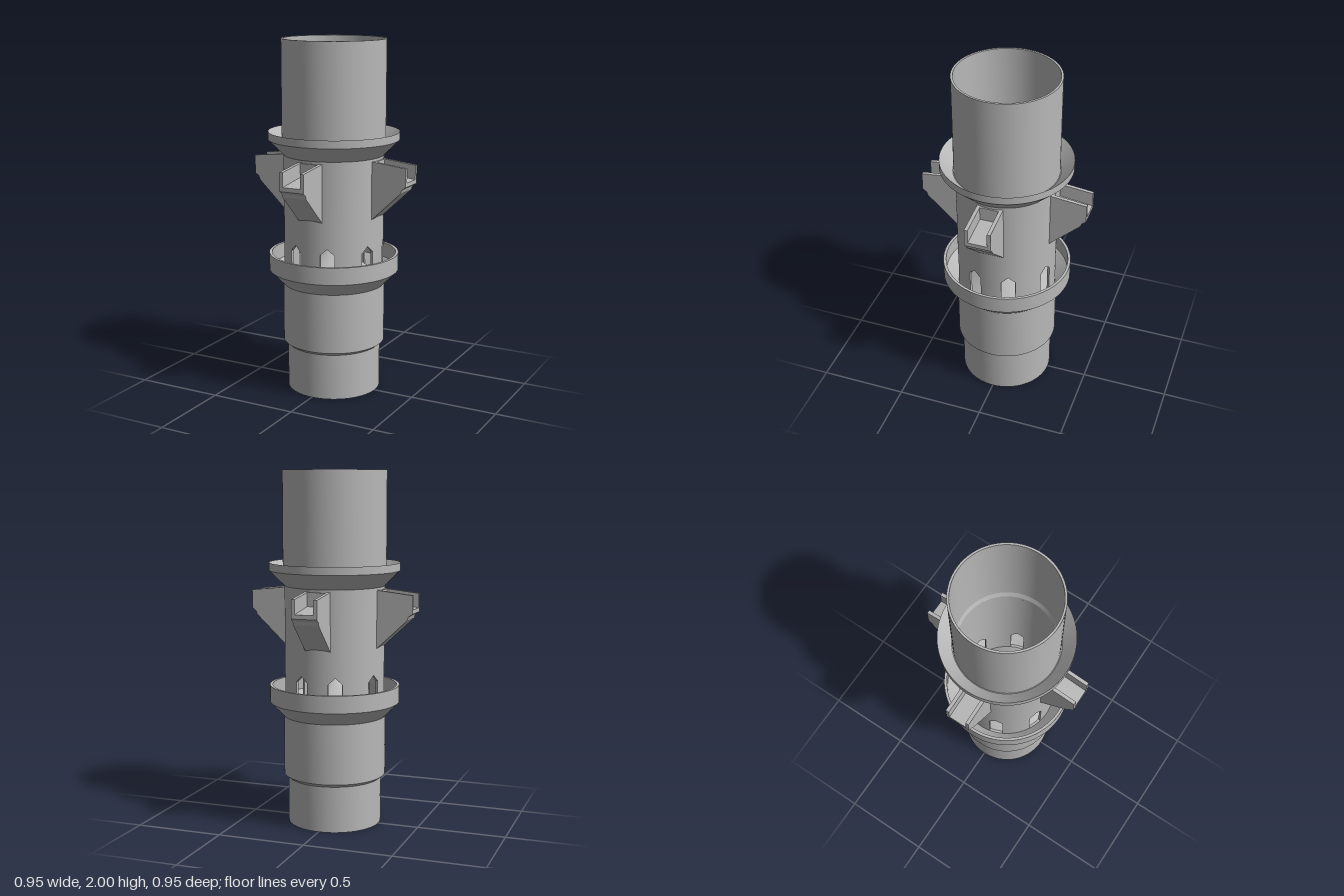
import * as THREE from 'three';
import { toCreasedNormals } from 'three/addons/utils/BufferGeometryUtils.js';

const DEG = Math.PI / 180;
const plastic = new THREE.MeshStandardMaterial({ color: 0xb8b8b8 });
plastic.name = 'grey plastic';

function part(name, geometry) {
  const mesh = new THREE.Mesh(geometry, plastic);
  mesh.name = name;
  return mesh;
}

// Closed profile: up the outside, down the inside
function turned(name, profile) {
  const points = [...profile, profile[0]].map(([r, y]) => new THREE.Vector2(r, y));
  return part(name, toCreasedNormals(new THREE.LatheGeometry(points, 96), 0.3));
}

// Tube wall made of cross-sections whose lower edge rises over each pointed window
function windowedTube() {
  const outer = 0.282, inner = 0.268, base = 0.63, top = 1.38;
  const shoulder = 0.842, peak = 0.877, half = 8;
  const sections = [];
  for (let quarter = 0; quarter < 4; quarter++) {
    for (const [start, centre, end] of [[0, 20.5, 45], [45, 69.5, 90]]) {
      const add = (angle, low) => sections.push([(quarter * 90 + angle) * DEG, low]);
      const fill = (from, to, lowFrom, lowTo) => {
        for (let i = 0; i <= 4; i++) {
          add(THREE.MathUtils.lerp(from, to, i / 4), THREE.MathUtils.lerp(lowFrom, lowTo, i / 4));
        }
      };
      fill(start, centre - half, base, base);
      fill(centre - half, centre, shoulder, peak);
      fill(centre, centre + half, peak, shoulder);
      fill(centre + half, end, base, base);
    }
  }
  const positions = [], index = [];
  sections.forEach(([angle, low], i) => {
    for (const [r, y] of [[outer, low], [outer, top], [inner, top], [inner, low]]) {
      positions.push(r * Math.sin(angle), y, r * Math.cos(angle));
    }
    const next = (i + 1) % sections.length;
    for (let k = 0; k < 4; k++) {
      const m = (k + 1) % 4;
      const a = i * 4 + k, b = next * 4 + k, c = next * 4 + m, d = i * 4 + m;
      index.push(a, b, c, a, c, d);
    }
  });
  const geometry = new THREE.BufferGeometry();
  geometry.setAttribute('position', new THREE.Float32BufferAttribute(positions, 3));
  geometry.setIndex(index);
  return part('windowedTube', toCreasedNormals(geometry, 0.3));
}

// Side profile (distance from axis, height) extruded across the spout
function slab(name, profile, from, to) {
  const shape = new THREE.Shape(profile.map(([x, y]) => new THREE.Vector2(x, y)));
  const geometry = new THREE.ExtrudeGeometry(shape, { depth: to - from, bevelEnabled: false });
  geometry.translate(0, 0, from);
  return part(name, geometry);
}

function makeSpout() {
  const spout = new THREE.Group();
  const underside = [[0.272, 1.022], [0.445, 1.185], [0.452, 1.205], [0.475, 1.222]];
  // Side walls
  const wall = [...underside, [0.475, 1.325], [0.272, 1.347]];
  spout.add(slab('spoutWallLeft', wall, 0.053, 0.073));
  spout.add(slab('spoutWallRight', wall, -0.073, -0.053));
  // Sloping floor with its wedge, and the back plate
  spout.add(slab('spoutFloor', [...underside, [0.475, 1.245], [0.272, 1.27]], -0.053, 0.053));
  spout.add(slab('spoutBack', [[0.272, 1.25], [0.29, 1.25], [0.29, 1.345], [0.272, 1.345]], -0.053, 0.053));
  return spout;
}

export function createModel() {
  const model = new THREE.Group();
  model.name = 'feederTube';

  // Lower tube, catch cup and inner deflector cone
  model.add(turned('lowerTubeAndCup', [
    [0.25, 0], [0.265, 0], [0.265, 0.262], [0.289, 0.281], [0.289, 0.62],
    [0.368, 0.70], [0.368, 0.797], [0.352, 0.797], [0.352, 0.71], [0.282, 0.65],
    [0.268, 0.65], [0, 0.84], [0, 0.825], [0.25, 0.62],
  ]));

  model.add(windowedTube());

  // Flared collar and upper tube
  model.add(turned('collarAndUpperTube', [
    [0.268, 1.36], [0.282, 1.36], [0.368, 1.446], [0.368, 1.49], [0.295, 1.417],
    [0.291, 1.417], [0.291, 2], [0.279, 2], [0.279, 1.43], [0.268, 1.40],
  ]));

  // Four spouts around the middle
  for (let i = 0; i < 4; i++) {
    const spout = makeSpout();
    spout.name = `spout${i + 1}`;
    spout.rotation.y = i * Math.PI / 2;
    model.add(spout);
  }
  return model;
}
